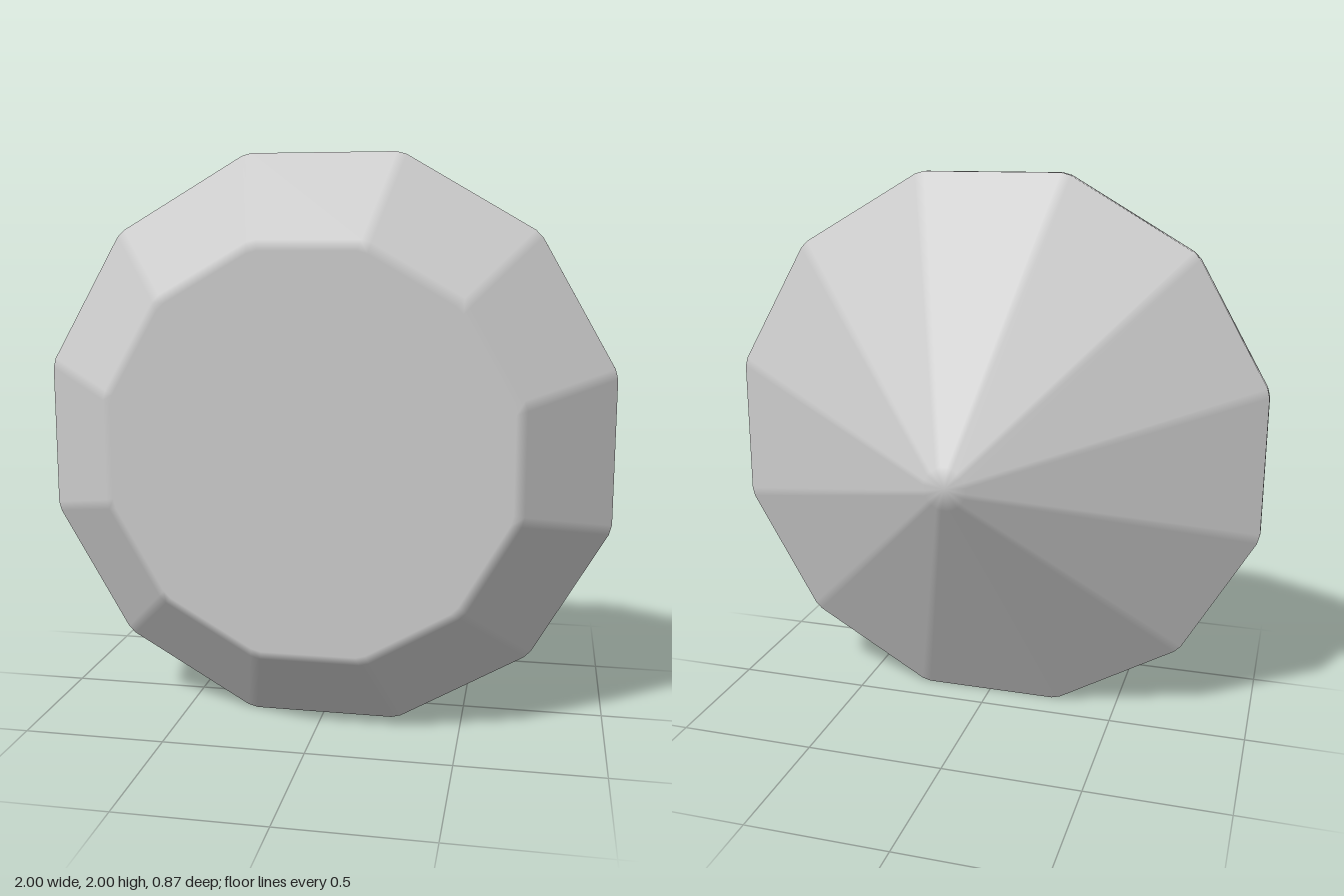
import * as THREE from 'three';

const SIDES = 12;
const BEVEL = 0.018; // half-width of the softened edge between neighbouring facets

// Profile from front to back: [apothem, z, normal outward, normal z]
const crown = [0.67, 0.742];
const pavilion = [0.514, -0.858];
const PROFILE = [
  [0, 0.437, 0, 1],
  [0.675, 0.437, 0, 1],
  [0.71, 0.412, ...crown],
  [1, 0.148, ...crown],
  [1, 0.118, ...pavilion],
  [0.075, -0.437, ...pavilion],
  [0, -0.437, 0, -1],
];

// Each facet keeps its own flat normal; the thin strips between facets blend them
function gemGeometry() {
  const positions = [], normals = [], index = [];
  const tan = Math.tan(Math.PI / SIDES);
  const count = SIDES * 2;

  for (const [r, z, nr, nz] of PROFILE) {
    const half = r * tan - Math.min(BEVEL, r * tan * 0.5);
    for (let k = 0; k < SIDES; k++) {
      const a = (k / SIDES) * Math.PI * 2;
      const c = Math.cos(a), s = Math.sin(a);
      for (const side of [-1, 1]) {
        positions.push(r * c - side * half * s, r * s + side * half * c, z);
        normals.push(nr * c, nr * s, nz);
      }
    }
  }

  const last = PROFILE.length - 2;
  for (let ring = 0; ring <= last; ring++) {
    for (let i = 0; i < count; i++) {
      const j = (i + 1) % count;
      const a = ring * count + i, d = ring * count + j;
      const b = a + count, c = d + count;
      if (ring < last) index.push(a, b, c);
      if (ring > 0) index.push(a, c, d);
    }
  }

  const geometry = new THREE.BufferGeometry();
  geometry.setAttribute('position', new THREE.Float32BufferAttribute(positions, 3));
  geometry.setAttribute('normal', new THREE.Float32BufferAttribute(normals, 3));
  geometry.setIndex(index);
  return geometry;
}

export function createModel() {
  const group = new THREE.Group();
  group.name = 'gem';

  // Twelve-sided cut stone: flat table in front, pointed pavilion behind
  const stone = new THREE.Mesh(gemGeometry(), new THREE.MeshStandardMaterial({ color: 0xcccccc }));
  stone.name = 'cutStone';
  stone.position.y = 1;
  group.add(stone);

  return group;
}
